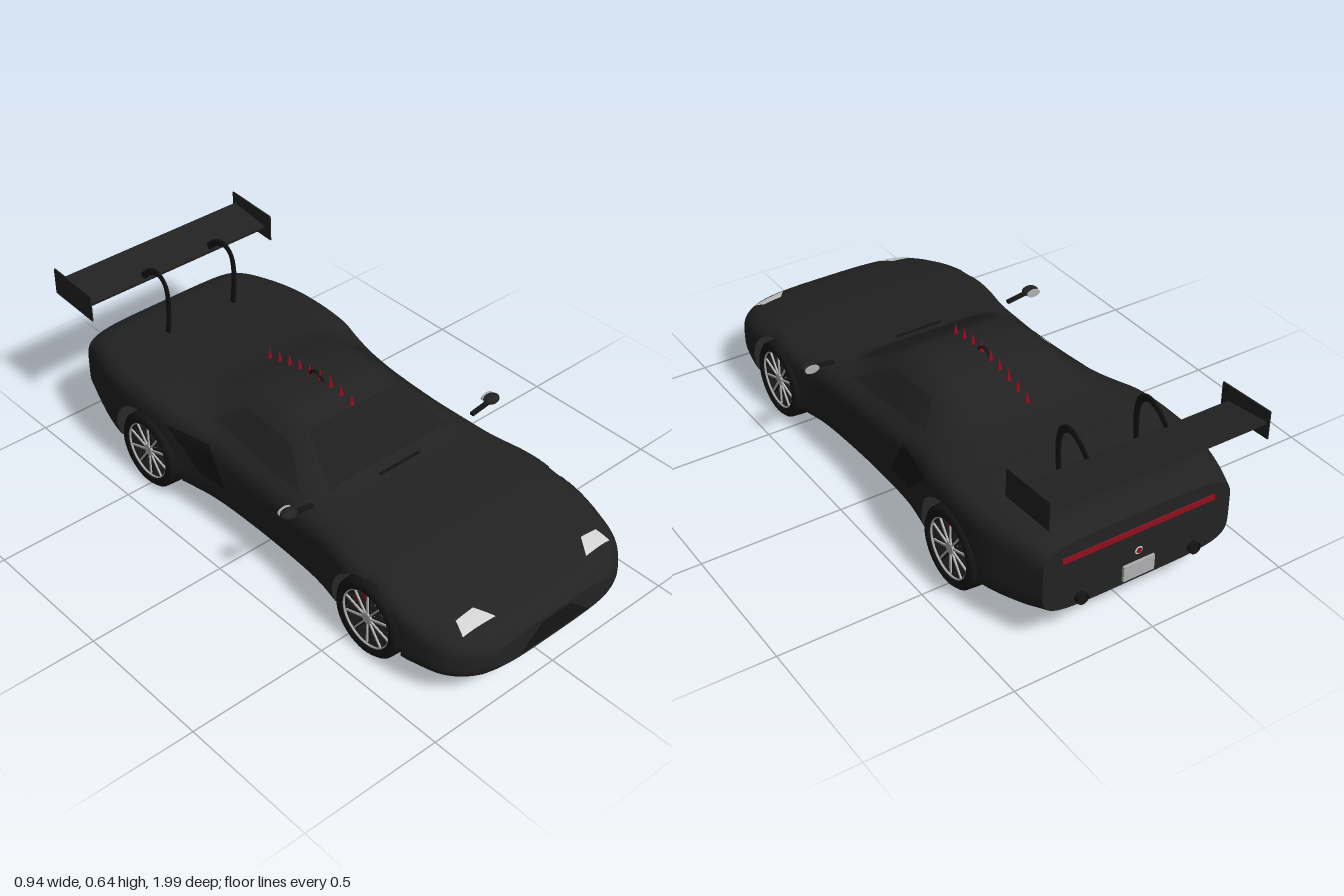
import * as THREE from 'three';

const mat = (name, color, side = THREE.FrontSide) => {
  const m = new THREE.MeshStandardMaterial({ color, side });
  m.name = name;
  return m;
};

// Smooth curve through [z, value] pairs listed from front to rear
function curve(pts) {
  const slope = (i) => {
    const a = pts[Math.max(i - 1, 0)], b = pts[Math.min(i + 1, pts.length - 1)];
    return (b[1] - a[1]) / (b[0] - a[0]);
  };
  return (z) => {
    let i = 0;
    while (i < pts.length - 2 && z < pts[i + 1][0]) i++;
    const [z0, v0] = pts[i], [z1, v1] = pts[i + 1], h = z1 - z0;
    const t = THREE.MathUtils.clamp((z - z0) / h, 0, 1), t2 = t * t, t3 = t2 * t;
    return v0 * (2 * t3 - 3 * t2 + 1) + slope(i) * h * (t3 - 2 * t2 + t) +
      v1 * (3 * t2 - 2 * t3) + slope(i + 1) * h * (t3 - t2);
  };
}

// Body lines: half width, underside, shoulder height, roof line and squareness
const FRONT = 0.995, REAR = -0.91;
const width = curve([[FRONT, 0.25], [0.97, 0.31], [0.9, 0.375], [0.8, 0.405], [0.7, 0.415], [0.5, 0.41], [0.35, 0.385],
  [0.2, 0.375], [0, 0.37], [-0.2, 0.375], [-0.3, 0.39], [-0.4, 0.41], [-0.6, 0.415], [-0.7, 0.405], [-0.8, 0.38], [REAR, 0.345]]);
const under = curve([[FRONT, 0.11], [0.97, 0.085], [0.93, 0.068], [0.86, 0.056], [0.5, 0.053], [-0.4, 0.055], [-0.65, 0.072], [-0.82, 0.098], [REAR, 0.125]]);
const deck = curve([[FRONT, 0.21], [0.97, 0.24], [0.92, 0.265], [0.85, 0.285], [0.7, 0.315], [0.6, 0.33], [0.4, 0.347], [0.27, 0.358],
  [0, 0.368], [-0.25, 0.39], [-0.45, 0.408], [-0.7, 0.405], [-0.85, 0.395], [REAR, 0.375]]);
const roof = curve([[0.33, 0], [0.27, 0.008], [0.2, 0.045], [0.1, 0.092], [0, 0.108], [-0.05, 0.107], [-0.15, 0.09], [-0.25, 0.06], [-0.37, 0.018], [-0.5, 0]]);
const square = curve([[FRONT, 3.4], [0.85, 4], [0.6, 6], [0.3, 4.8], [-0.1, 4.8], [-0.5, 6], [REAR, 5]]);
const cabin = (x, z) => roof(z) * (1 - THREE.MathUtils.smoothstep(Math.abs(x), 0.17, 0.355));
const middle = (z) => (deck(z) + under(z)) / 2;
const half = (z) => (deck(z) - under(z)) / 2;
const round = (t, n) => Math.pow(Math.max(0, 1 - Math.pow(Math.min(1, Math.abs(t)), n)), 1 / n);
const topY = (x, z) => middle(z) + half(z) * round(x / width(z), square(z)) + cabin(x, z);
const sideX = (y, z) => width(z) * round((y - middle(z)) / half(z), square(z));

const ARCHES = [{ z: 0.594, y: 0.135, r: 0.16 }, { z: -0.503, y: 0.145, r: 0.165 }];

// Lofted shell with round wheel openings
function bodyGeometry() {
  const K = 28, N = 4 * K, S = 140, pos = [], idx = [];
  for (let i = 0; i <= S; i++) {
    const z = FRONT + (REAR - FRONT) * i / S, n = square(z);
    for (let j = 0; j < N; j++) {
      const t = 2 * (j % K) / K - 1;
      const [u, v] = [[1, t], [-t, 1], [-1, -t], [t, -1]][Math.floor(j / K)];
      const s = Math.pow(Math.abs(u) ** n + Math.abs(v) ** n, -1 / n);
      const x = width(z) * u * s;
      const p = [x, middle(z) + half(z) * v * s + (v > 0 ? cabin(x, z) * Math.min(1, v * 1.2) : 0), z];
      // pull nearby points onto the arch circle
      for (const a of ARCHES) {
        const d = Math.hypot(p[2] - a.z, p[1] - a.y);
        if (Math.abs(x) > 0.25 && Math.abs(d - a.r) < 0.011) {
          p[2] = a.z + (p[2] - a.z) * a.r / d;
          p[1] = Math.max(under(z), a.y + (p[1] - a.y) * a.r / d);
        }
      }
      pos.push(...p);
    }
  }
  const inArch = (q) => {
    const c = [0, 1, 2].map((k) => q.reduce((sum, v) => sum + pos[3 * v + k], 0) / 4);
    return Math.abs(c[0]) > 0.25 && ARCHES.some((a) => Math.hypot(c[2] - a.z, c[1] - a.y) < a.r);
  };
  for (let i = 0; i < S; i++) for (let j = 0; j < N; j++) {
    const k = (j + 1) % N, a = i * N + j, b = i * N + k, c = a + N, d = b + N;
    if (!inArch([a, b, c, d])) idx.push(a, c, d, a, d, b);
  }
  // nose and tail faces
  for (const [ring, z, flip] of [[0, FRONT, false], [S, REAR, true]]) {
    const base = pos.length / 3;
    pos.push(0, middle(z), z, ...pos.slice(ring * N * 3, (ring + 1) * N * 3));
    for (let j = 0; j < N; j++) {
      const a = base + 1 + j, b = base + 1 + (j + 1) % N;
      idx.push(base, flip ? b : a, flip ? a : b);
    }
  }
  const g = new THREE.BufferGeometry();
  g.setAttribute('position', new THREE.Float32BufferAttribute(pos, 3));
  g.setIndex(idx);
  g.computeVertexNormals();
  return g;
}

// Four-cornered panel laid on the body; place() maps a flat point to the surface
function panelGeometry(c, place) {
  const g = new THREE.PlaneGeometry(1, 1, 20, 20), p = g.attributes.position;
  for (let i = 0; i < p.count; i++) {
    const u = p.getX(i) + 0.5, v = p.getY(i) + 0.5;
    const mix = (k) => (c[0][k] * (1 - u) + c[1][k] * u) * (1 - v) + (c[3][k] * (1 - u) + c[2][k] * u) * v;
    p.setXYZ(i, ...place(mix(0), mix(1)));
  }
  g.computeVertexNormals();
  return g;
}

export function createModel() {
  const car = new THREE.Group();
  car.name = 'sportsCar';
  const D = THREE.DoubleSide;
  const paint = mat('blackPaint', 0x222222, D), trim = mat('darkTrim', 0x151515, D), glass = mat('darkGlass', 0x1e1e1e, D);
  const silver = mat('silver', 0xb0b0b0, D), lamp = mat('headlightWhite', 0xd2d2d2, D), red = mat('red', 0x8c0f1e, D);
  const add = (name, geo, m, x = 0, y = 0, z = 0, parent = car) => {
    const mesh = new THREE.Mesh(geo, m);
    mesh.name = name;
    mesh.position.set(x, y, z);
    parent.add(mesh);
    return mesh;
  };
  const box = (w, h, d) => new THREE.BoxGeometry(w, h, d);

  add('body', bodyGeometry(), paint);
  const onTop = (s) => (x, z) => [s * x, topY(x, z) + 0.004, z];
  add('windshield', panelGeometry([[-0.26, 0.27], [0.26, 0.27], [0.19, 0.09], [-0.19, 0.09]], onTop(1)), glass);
  add('wiper', box(0.17, 0.006, 0.008), trim, 0, topY(0, 0.31) + 0.003, 0.31);
  add('frontGrille', new THREE.ShapeGeometry(new THREE.Shape(
    [[-0.15, 0.122], [0.15, 0.122], [0.06, 0.2], [-0.06, 0.2]].map((p) => new THREE.Vector2(...p)))), trim, 0, 0, FRONT + 0.002);

  // Wheel: tyre and rim turned about the axle, thin spokes, hub and brake caliper
  const tyreGeo = new THREE.LatheGeometry([[0.104, -0.058], [0.125, -0.062], [0.137, -0.05], [0.14, 0], [0.137, 0.05], [0.125, 0.062], [0.104, 0.058], [0.1, 0.05], [0.1, -0.05], [0.104, -0.058]]
    .map((p) => new THREE.Vector2(...p)), 40).rotateZ(-Math.PI / 2);
  function wheel(side, axleZ, caliperAngle) {
    const w = new THREE.Group();
    w.name = 'wheel';
    w.position.set(side * 0.35, 0.14, axleZ);
    add('tyre', tyreGeo, trim, 0, 0, 0, w);
    add('rimLip', new THREE.TorusGeometry(0.102, 0.004, 6, 40).rotateY(Math.PI / 2), silver, side * 0.052, 0, 0, w);
    for (let i = 0; i < 10; i++) {
      const a = i * Math.PI / 5;
      for (const [width, m, x] of [[0.013, trim, 0.04], [0.006, silver, 0.046]])
        add('spoke', box(0.008, 0.085, width), m, side * x, Math.cos(a) * 0.058, Math.sin(a) * 0.058, w).rotation.x = a;
    }
    add('hub', new THREE.CylinderGeometry(0.02, 0.02, 0.02, 16).rotateZ(Math.PI / 2), silver, side * 0.042, 0, 0, w);
    add('axle', new THREE.CylinderGeometry(0.016, 0.016, 0.08, 12).rotateZ(Math.PI / 2), trim, 0, 0, 0, w);
    const pad = new THREE.Shape();
    pad.absarc(0, 0, 0.085, -0.55, 0.55, false);
    pad.absarc(0, 0, 0.045, 0.55, -0.55, true);
    const padGeo = new THREE.ExtrudeGeometry(pad, { depth: 0.03, bevelEnabled: false }).rotateY(-Math.PI / 2);
    add('brakeCaliper', padGeo, red, side * 0.015 + 0.015, 0, 0, w).rotation.x = -caliperAngle;
    car.add(w);
  }

  // Swan-neck wing support
  const neck = new THREE.CatmullRomCurve3([[0.39, -0.705], [0.47, -0.695], [0.55, -0.692], [0.6, -0.705], [0.624, -0.74], [0.612, -0.785], [0.575, -0.83]]
    .map(([y, z]) => new THREE.Vector3(0, y, z)));
  const neckGeo = new THREE.TubeGeometry(neck, 32, 0.013, 10).scale(0.35, 1, 1);
  const endPlate = new THREE.Shape([[0.786, 0.52], [0.995, 0.533], [0.995, 0.63], [0.786, 0.618]].map((p) => new THREE.Vector2(...p)));
  const endPlateGeo = new THREE.ExtrudeGeometry(endPlate, { depth: 0.005, bevelEnabled: false }).rotateY(Math.PI / 2).translate(-0.0025, 0, 0);

  for (const s of [1, -1]) {
    wheel(s, 0.594, Math.PI * 0.75);
    wheel(s, -0.503, Math.PI * 0.25);
    add('headlight', panelGeometry([[0.197, 0.93], [0.32, 0.918], [0.305, 0.872], [0.235, 0.872]], onTop(s)), lamp);
    add('sideWindow', panelGeometry([[0.325, 0.2], [0.25, 0.08], [0.245, -0.16], [0.315, -0.24]], onTop(s)), glass);
    add('sideIntake', panelGeometry([[-0.12, 0.19], [-0.235, 0.19], [-0.38, 0.325], [-0.19, 0.325]],
      (z, y) => [s * (sideX(y, z) + 0.003), y, z]), trim);
    // door mirror
    add('mirrorArm', box(0.09, 0.01, 0.015), trim, s * 0.39, 0.37, 0.285).rotation.z = s * 0.15;
    add('mirrorShell', new THREE.SphereGeometry(1, 20, 12).scale(0.03, 0.016, 0.024), paint, s * 0.439, 0.38, 0.283);
    add('mirrorGlass', new THREE.CylinderGeometry(1, 1, 0.006, 20).rotateX(Math.PI / 2).scale(0.026, 0.014, 1), silver, s * 0.439, 0.38, 0.262);
    // rear wing pieces and exhaust
    add('wingSupport', neckGeo, trim, s * 0.143);
    add('wingEndPlate', endPlateGeo, paint, s * 0.39);
    add('exhaust', new THREE.CylinderGeometry(0.02, 0.02, 0.04, 20, 1, true).rotateX(Math.PI / 2), trim, s * 0.21, 0.155, -0.908);
    add('exhaustCore', new THREE.CircleGeometry(0.019, 20).rotateY(Math.PI), trim, s * 0.21, 0.155, -0.918);
  }
  add('wingBlade', box(0.775, 0.01, 0.17), paint, 0, 0.573, -0.9).rotation.x = 0.14;

  // Row of spikes along the roof
  for (let i = 0; i < 9; i++) {
    const z = 0.08 - i * 0.051;
    add('roofSpike', new THREE.ConeGeometry(0.009, 0.045, 10), red, 0, topY(0, z) + 0.02, z);
  }
  add('roofLoop', new THREE.TorusGeometry(0.03, 0.006, 8, 20, Math.PI).rotateY(Math.PI / 2).scale(1, 0.7, 1), trim, 0, topY(0, -0.09), -0.09);

  // Tail details
  add('tailLight', box(0.56, 0.018, 0.008), red, 0, 0.315, REAR - 0.002);
  add('rearPlate', box(0.115, 0.055, 0.009), silver, 0, 0.17, REAR - 0.006);
  add('rearReflectorRim', new THREE.CircleGeometry(0.014, 20).rotateY(Math.PI), lamp, 0, 0.235, REAR - 0.003);
  add('rearReflector', new THREE.CircleGeometry(0.01, 20).rotateY(Math.PI), red, 0, 0.235, REAR - 0.005);
  return car;
}
